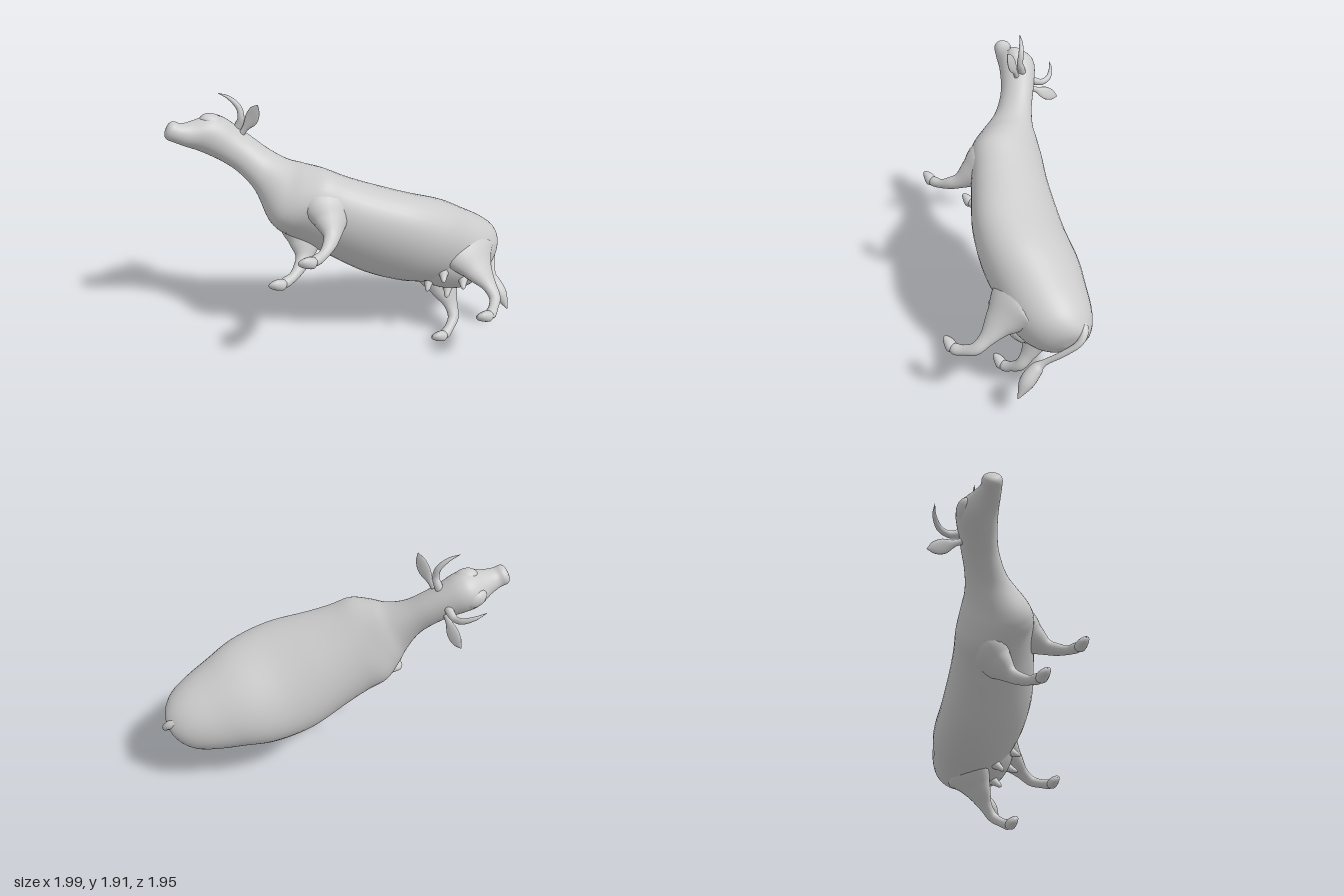
import * as THREE from 'three';

const material = new THREE.MeshStandardMaterial({ color: 0xcccccc, side: THREE.DoubleSide });

// Smooth skin over elliptical sections [x, y, z, halfWidth, halfHeight].
// ref is the width direction; with upright set, all sections face +z.
function loft(name, sections, { ref = [1, 0, 0], upright = false, sides = 20, steps = 6 } = {}) {
  const centres = new THREE.CatmullRomCurve3(
    sections.map(s => new THREE.Vector3(s[0], s[1], s[2])), false, 'catmullrom');
  const sizes = new THREE.CatmullRomCurve3(
    sections.map(s => new THREE.Vector3(s[3], s[4] ?? s[3], 0)), false, 'catmullrom');
  const rings = (sections.length - 1) * steps;
  const refDir = new THREE.Vector3(...ref);
  const positions = [], index = [];
  for (let i = 0; i <= rings; i++) {
    const c = centres.getPoint(i / rings), size = sizes.getPoint(i / rings);
    const t = upright ? new THREE.Vector3(0, 0, 1) : centres.getTangent(i / rings);
    const side = refDir.clone().addScaledVector(t, -refDir.dot(t)).normalize();
    const up = t.clone().cross(side);
    for (let j = 0; j < sides; j++) {
      const a = (j / sides) * Math.PI * 2;
      const p = c.clone()
        .addScaledVector(side, Math.cos(a) * Math.max(size.x, 0.001))
        .addScaledVector(up, Math.sin(a) * Math.max(size.y, 0.001));
      positions.push(p.x, p.y, p.z);
      if (i < rings) {
        const k = i * sides + j, n = i * sides + (j + 1) % sides;
        index.push(k, n, k + sides, n, n + sides, k + sides);
      }
    }
  }
  const geometry = new THREE.BufferGeometry();
  geometry.setAttribute('position', new THREE.Float32BufferAttribute(positions, 3));
  geometry.setIndex(index);
  geometry.computeVertexNormals();
  const mesh = new THREE.Mesh(geometry, material);
  mesh.name = name;
  return mesh;
}

function ellipsoid(name, centre, radii) {
  const mesh = new THREE.Mesh(new THREE.SphereGeometry(1, 24, 16), material);
  mesh.name = name;
  mesh.position.set(...centre);
  mesh.scale.set(...radii);
  return mesh;
}

export function createModel() {
  const model = new THREE.Group();
  model.name = 'cow';
  // The animal is modelled with +x left, +y up, +z forward, then tilted
  const cow = new THREE.Group();
  cow.name = 'tiltedCow';
  model.add(cow);

  // Rump, barrel, shoulders, neck and head in one skin
  cow.add(loft('body', [
    [0, 0.09, -1.13, 0, 0],
    [0, 0.085, -1.105, 0.12, 0.13],
    [0, 0.06, -1.03, 0.22, 0.21],
    [0, 0.03, -0.90, 0.285, 0.265],
    [0, 0.00, -0.70, 0.345, 0.285],
    [0, -0.035, -0.48, 0.405, 0.3],
    [0, -0.07, -0.20, 0.415, 0.28],
    [0, -0.07, 0.10, 0.36, 0.258],
    [0, -0.06, 0.28, 0.332, 0.243],
    [0, -0.05, 0.43, 0.318, 0.238],
    [0, -0.045, 0.55, 0.25, 0.243],
    [0, -0.02, 0.65, 0.178, 0.225],
    [0, 0.075, 0.78, 0.124, 0.16],
    [0, 0.145, 0.92, 0.113, 0.137],
    [0, 0.183, 1.04, 0.12, 0.135],
    [0, 0.203, 1.15, 0.134, 0.137],
    [0, 0.195, 1.23, 0.128, 0.126],
    [0, 0.15, 1.32, 0.088, 0.092],
    [0, 0.122, 1.39, 0.07, 0.066],
    [0, 0.12, 1.44, 0.068, 0.062],
    [0, 0.12, 1.465, 0.045, 0.04],
    [0, 0.12, 1.472, 0, 0],
  ], { upright: true, sides: 40 }));

  // Udder and tail
  cow.add(ellipsoid('udder', [0, -0.205, -0.74], [0.2, 0.105, 0.24]));
  cow.add(loft('tail', [
    [0, 0.235, -1.0, 0.035], [0, 0.235, -1.08, 0.03], [0, 0.18, -1.14, 0.022],
    [0, 0.05, -1.16, 0.02], [0, -0.09, -1.165, 0.022], [0, -0.16, -1.185, 0.045, 0.046],
    [0, -0.25, -1.245, 0.05, 0.05], [-0.01, -0.34, -1.32, 0.004],
  ]));

  for (const s of [1, -1]) {
    const side = new THREE.Group();
    side.name = s > 0 ? 'leftSide' : 'rightSide';
    cow.add(side);
    const mirror = list => list.map(([x, ...rest]) => [s * x, ...rest]);

    // Legs run from inside the body down to the pastern
    side.add(loft('frontLeg', mirror([
      [0.16, 0.03, 0.34, 0.1, 0.15], [0.18, -0.13, 0.34, 0.135, 0.19],
      [0.2, -0.25, 0.315, 0.09, 0.12], [0.215, -0.35, 0.30, 0.05, 0.062],
      [0.225, -0.43, 0.315, 0.04, 0.045], [0.23, -0.51, 0.35, 0.031, 0.033],
      [0.235, -0.57, 0.4, 0.034, 0.036], [0.235, -0.595, 0.425, 0.01],
    ])));
    side.add(loft('hindLeg', mirror([
      [0.14, 0.08, -0.77, 0.1, 0.2], [0.175, -0.08, -0.79, 0.135, 0.25],
      [0.21, -0.22, -0.87, 0.085, 0.135], [0.238, -0.33, -0.955, 0.044, 0.062],
      [0.255, -0.42, -1.0, 0.037, 0.044], [0.27, -0.51, -0.98, 0.031, 0.035],
      [0.28, -0.57, -0.95, 0.035, 0.038], [0.28, -0.595, -0.925, 0.01],
    ])));

    // Wedge-shaped hooves with flat soles
    for (const [name, x, z] of [['frontHoof', 0.235, 0.385], ['hindHoof', 0.28, -0.965]]) {
      side.add(loft(name, mirror([
        [x, -0.585, z, 0.005], [x, -0.588, z + 0.015, 0.034, 0.036],
        [x, -0.597, z + 0.06, 0.044, 0.04], [x, -0.61, z + 0.1, 0.042, 0.028],
        [x, -0.618, z + 0.122, 0.02, 0.012], [x, -0.62, z + 0.126, 0.002],
      ]), { upright: true, sides: 16 }));
    }

    // Head details
    side.add(loft('horn', mirror([
      [0.05, 0.26, 1.03, 0.03], [0.1, 0.285, 1.03, 0.028], [0.15, 0.31, 1.04, 0.023],
      [0.187, 0.355, 1.08, 0.02], [0.205, 0.385, 1.16, 0.013], [0.203, 0.39, 1.24, 0.001],
    ]), { ref: [0, 1, -0.3], sides: 12 }));
    side.add(loft('ear', mirror([
      [0.07, 0.22, 1.0, 0.025, 0.02], [0.14, 0.25, 0.995, 0.022, 0.016],
      [0.22, 0.28, 0.99, 0.048, 0.014], [0.29, 0.305, 0.995, 0.038, 0.01],
      [0.34, 0.32, 1.0, 0.002],
    ]), { ref: [0, 0.6, 0.8], sides: 14 }));
    side.add(ellipsoid('brow', [s * 0.07, 0.24, 1.2], [0.065, 0.065, 0.09]));

    // Teats
    for (const z of [-0.66, -0.83]) {
      side.add(loft('teat', mirror([
        [0.095, -0.26, z, 0.045], [0.1, -0.315, z, 0.026],
        [0.105, -0.35, z, 0.016], [0.105, -0.365, z, 0.002],
      ]), { sides: 12 }));
    }
  }

  // Tilt: columns are the animal's left, up and forward directions
  const left = new THREE.Vector3(0.72, 0.683, 0.12).normalize();
  const forward = new THREE.Vector3(-0.545, 0.449, 0.709);
  forward.addScaledVector(left, -forward.dot(left)).normalize();
  const up = forward.clone().cross(left);
  cow.quaternion.setFromRotationMatrix(new THREE.Matrix4().makeBasis(left, up, forward));
  cow.position.set(-0.002, 0.993, 0);
  return model;
}
